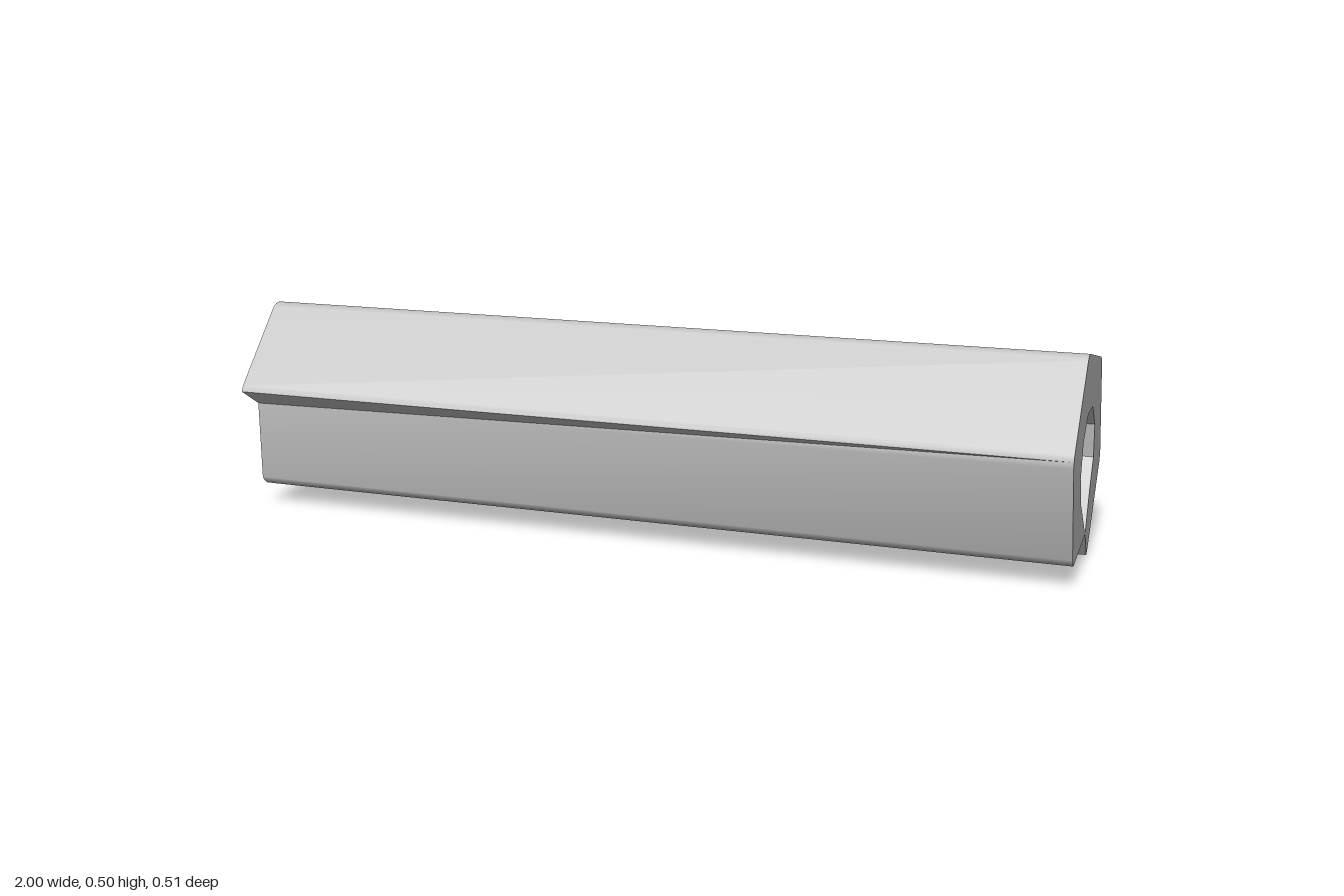
import * as THREE from 'three';

const CY = 0.2475, HALF = 1;
const rad = THREE.MathUtils.degToRad;

// Point of a cross-section: [z, y]
const polar = (deg, r) => [r * Math.cos(rad(deg)), CY + r * Math.sin(rad(deg))];

// Hexagon with rounded corners, three points per corner
function hexLoop() {
  const loop = [];
  for (let i = 0; i < 6; i++) {
    loop.push(polar(i * 60 + 8.7, 0.2562), polar(i * 60 + 11.9, 0.2583), polar(i * 60 + 15.1, 0.2562));
  }
  return loop;
}

// Nine-sided hole
function boreLoop() {
  return Array.from({ length: 9 }, (_, i) => polar(-8.5 + i * 40, 0.1165));
}

// One end: a hexagon vertex and a bore vertex are pulled together into a notch
function makeEnd(x, outerIndex, boreIndex) {
  const outer = hexLoop(), bore = boreLoop();
  const o = outer[outerIndex], b = bore[boreIndex];
  const pinch = [(o[0] + b[0]) / 2, (o[1] + b[1]) / 2];
  outer[outerIndex] = pinch;
  bore[boreIndex] = pinch;
  return { x, outer, bore, outerIndex, boreIndex };
}

const at = (x, p) => new THREE.Vector3(x, p[1], p[0]);

// Triangles of the wall joining two loops
function wall(a, b, xa, xb, inward) {
  const tris = [];
  for (let j = 0; j < a.length; j++) {
    const k = (j + 1) % a.length;
    const a0 = at(xa, a[j]), a1 = at(xa, a[k]), b0 = at(xb, b[j]), b1 = at(xb, b[k]);
    tris.push([a0, b0, b1], [a0, b1, a1]);
  }
  return inward ? tris.map(([p, q, r]) => [p, r, q]) : tris;
}

// End face: outline runs round the hexagon, through the notch, and back round the bore
function cap({ x, outer, bore, outerIndex, boreIndex }) {
  const n = outer.length, m = bore.length, path = [];
  for (let i = 0; i <= n; i++) path.push(outer[(outerIndex + i) % n]);
  for (let i = 1; i < m; i++) path.push(bore[(boreIndex - i + m) % m]);
  const flat = path.map(p => new THREE.Vector2(p[0], p[1]));
  return THREE.ShapeUtils.triangulateShape(flat, []).map(([i, j, k]) => {
    const area = THREE.ShapeUtils.area([flat[i], flat[j], flat[k]]);
    const order = (area > 0) === (x < 0) ? [i, j, k] : [i, k, j];
    return order.map(v => at(x, path[v]));
  });
}

// Geometry with area-weighted normals, smooth only across shallow edges
function creased(tris, maxAngle = 32) {
  const key = v => v.toArray().map(c => c.toFixed(4)).join();
  const shared = {}, positions = [], normals = [];
  const faces = tris.map(([p, q, r]) => q.clone().sub(p).cross(r.clone().sub(p)));
  tris.forEach((t, i) => t.forEach(v => (shared[key(v)] ??= []).push(faces[i])));
  tris.forEach((t, i) => t.forEach(v => {
    const sum = new THREE.Vector3();
    for (const f of shared[key(v)]) if (f.angleTo(faces[i]) < rad(maxAngle)) sum.add(f);
    positions.push(...v.toArray());
    normals.push(...sum.normalize().toArray());
  }));
  const geometry = new THREE.BufferGeometry();
  geometry.setAttribute('position', new THREE.Float32BufferAttribute(positions, 3));
  geometry.setAttribute('normal', new THREE.Float32BufferAttribute(normals, 3));
  return geometry;
}

export function createModel() {
  const group = new THREE.Group();
  group.name = 'hexTube';
  const metal = new THREE.MeshStandardMaterial({ color: 0xc0c0c0 });
  metal.name = 'grey metal';

  const right = makeEnd(-HALF, 0, 0);   // notch on the front corner
  const left = makeEnd(HALF, 14, 7);    // notch on the lower corner

  const add = (name, tris) => {
    const mesh = new THREE.Mesh(creased(tris), metal);
    mesh.name = name;
    group.add(mesh);
  };
  add('hexBody', wall(right.outer, left.outer, -HALF, HALF, false));
  add('bore', wall(right.bore, left.bore, -HALF, HALF, true));
  add('rightEndFace', cap(right));
  add('leftEndFace', cap(left));
  return group;
}
